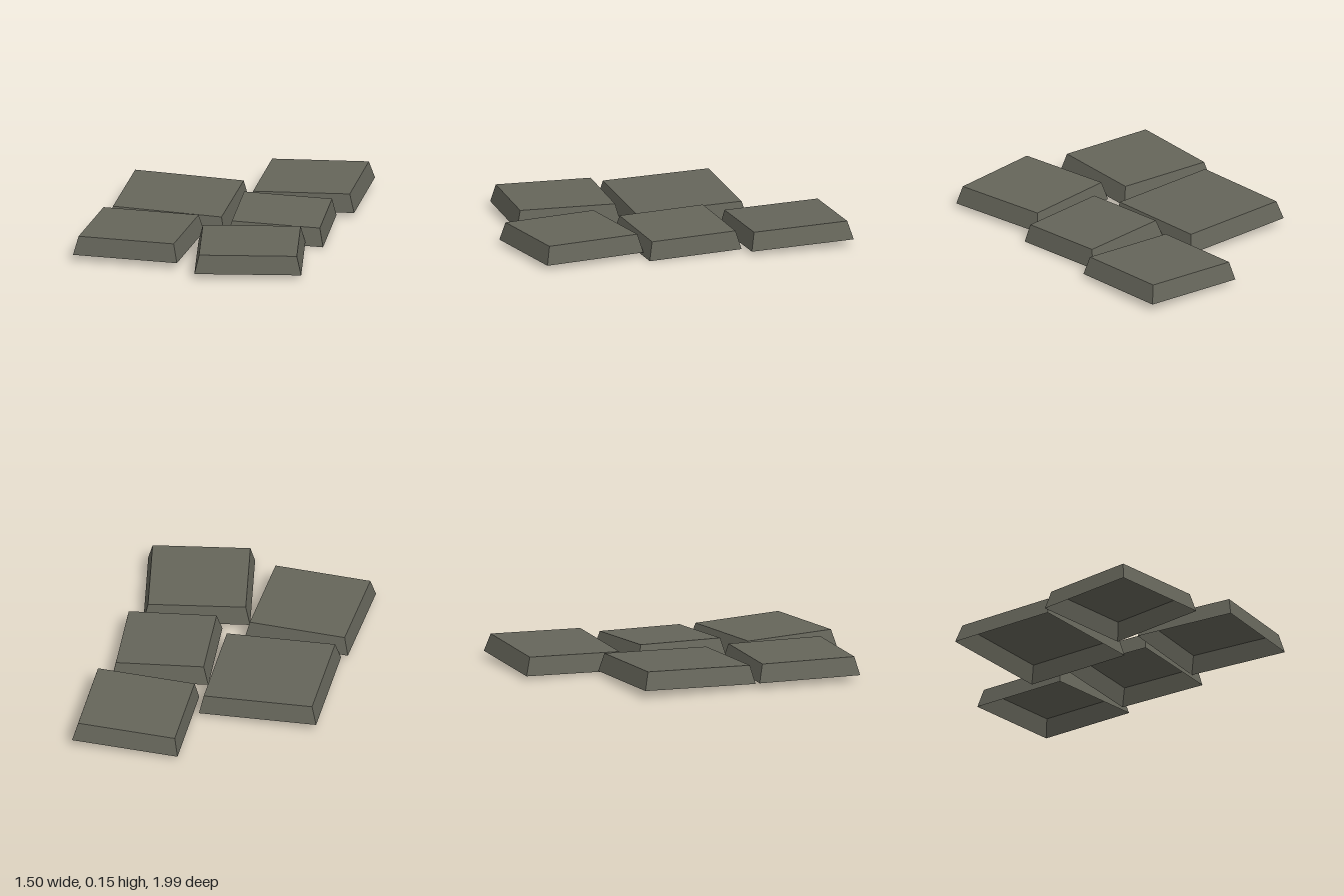
import * as THREE from 'three';

const THICKNESS = 0.105;
const BEVEL = 0.026;

// Hollow slab with sloped walls and no underside, spanned by three of its lower corners
function slabGeometry(backLeft, backRight, frontLeft) {
  const origin = new THREE.Vector3(...backLeft);
  const across = new THREE.Vector3(...backRight).sub(origin);
  const along = new THREE.Vector3(...frontLeft).sub(origin);
  const normal = along.clone().cross(across).normalize();
  const insetU = BEVEL / across.length();
  const insetV = BEVEL / along.length();

  const geo = new THREE.BoxGeometry(1, 1, 1);
  const pos = geo.attributes.position;
  const p = new THREE.Vector3();
  for (let i = 0; i < pos.count; i++) {
    const top = pos.getY(i) > 0;
    const u = pos.getX(i) * (top ? 1 - 2 * insetU : 1) + 0.5;
    const v = pos.getZ(i) * (top ? 1 - 2 * insetV : 1) + 0.5;
    p.copy(origin).addScaledVector(across, u).addScaledVector(along, v);
    if (top) p.addScaledVector(normal, THICKNESS);
    pos.setXYZ(i, p.x, p.y, p.z);
  }
  // Drop the bottom face (fourth of the six box faces)
  const index = Array.from(geo.index.array);
  index.splice(18, 6);
  geo.setIndex(index);
  geo.clearGroups();
  geo.computeVertexNormals();
  return geo;
}

export function createModel() {
  const group = new THREE.Group();
  group.name = 'pavingStones';

  const stone = new THREE.MeshStandardMaterial({ color: 0x65655a, side: THREE.DoubleSide });
  stone.name = 'stone';

  // Lower corners of each slab: back left, back right, front left as seen from above
  const slabs = {
    backSlab: [[-0.12, 0.02, -0.893], [0.485, 0.042, -1.0], [-0.01, 0.0, -0.294]],
    middleSlab: [[-0.034, 0.038, -0.217], [0.506, 0.014, -0.353], [0.1, 0.024, 0.328]],
    leftSlab: [[-0.75, 0.045, -0.347], [-0.077, 0.02, -0.464], [-0.63, 0.025, 0.326]],
    frontLeftSlab: [[-0.665, 0.035, 0.342], [-0.058, 0.035, 0.268], [-0.592, 0.035, 0.947]],
    frontRightSlab: [[-0.034, 0.025, 0.416], [0.541, 0.025, 0.215], [0.17, 0.025, 0.994]],
  };
  for (const [name, corners] of Object.entries(slabs)) {
    const mesh = new THREE.Mesh(slabGeometry(...corners), stone);
    mesh.name = name;
    group.add(mesh);
  }
  return group;
}
